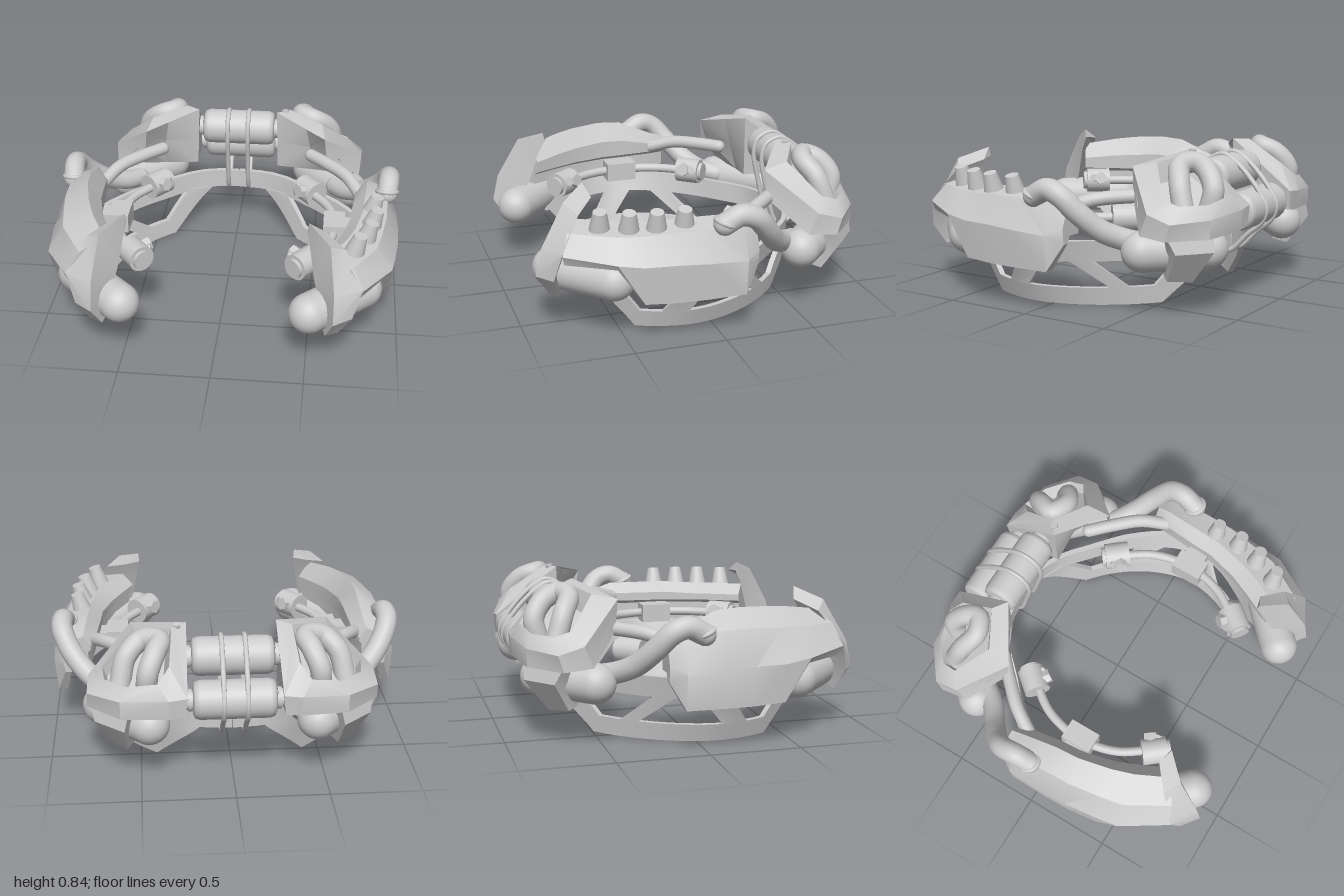
import * as THREE from 'three';
import { toCreasedNormals } from 'three/addons/utils/BufferGeometryUtils.js';

const V = (p) => new THREE.Vector3(...p);
const smooth = new THREE.MeshStandardMaterial({ color: 0xcccccc });
const faceted = new THREE.MeshStandardMaterial({ color: 0xcccccc, flatShading: true });
const plate = new THREE.MeshStandardMaterial({ color: 0xcccccc, side: THREE.DoubleSide });

function add(parent, name, geometry, material = smooth) {
  const m = new THREE.Mesh(geometry, material);
  m.name = name;
  parent.add(m);
  return m;
}

// Skin between equal-length rings of [x, y, z]; skip lists first-band edges left open
function loft(rings, { closed = true, caps = '', skip = [] } = {}) {
  const pos = [];
  const tri = (...p) => p.forEach((q) => pos.push(...q));
  const n = rings[0].length;
  for (let i = 0; i < rings.length - 1; i++) {
    for (let j = 0; j < (closed ? n : n - 1); j++) {
      if (skip.includes(j) && i === 0) continue;
      const k = (j + 1) % n, a = rings[i], b = rings[i + 1];
      tri(a[j], a[k], b[k]);
      tri(a[j], b[k], b[j]);
    }
  }
  const cap = (r, flip) => {
    const c = [0, 1, 2].map((d) => r.reduce((s, p) => s + p[d], 0) / n);
    r.forEach((p, j) => (flip ? tri(r[(j + 1) % n], p, c) : tri(p, r[(j + 1) % n], c)));
  };
  if (caps.includes('start')) cap(rings[0], true);
  if (caps.includes('end')) cap(rings[rings.length - 1], false);
  const g = new THREE.BufferGeometry();
  g.setAttribute('position', new THREE.Float32BufferAttribute(pos, 3));
  return toCreasedNormals(g, 0.5);
}

// Straight part from a to b: cone, cylinder or capsule
function rod(parent, name, a, b, r0, r1 = r0, { seg = 24, round = false } = {}) {
  const A = V(a), B = V(b), d = B.clone().sub(A);
  const g = round ? new THREE.CapsuleGeometry(r0, d.length(), 10, 28)
    : new THREE.CylinderGeometry(r1, r0, d.length(), seg);
  const m = add(parent, name, g, seg < 10 ? faceted : smooth);
  m.position.copy(A).add(B).multiplyScalar(0.5);
  m.quaternion.setFromUnitVectors(new THREE.Vector3(0, 1, 0), d.normalize());
}

// Bent pipe with rounded ends
function pipe(parent, name, pts, r) {
  const g = new THREE.Group();
  g.name = name;
  parent.add(g);
  add(g, name + 'Tube', new THREE.TubeGeometry(new THREE.CatmullRomCurve3(pts.map(V)), 48, r, 16));
  for (const p of [pts[0], pts[pts.length - 1]]) {
    add(g, name + 'End', new THREE.SphereGeometry(r, 16, 12)).position.set(...p);
  }
}

// Plan of the lower frame; panels are given by corners [station, height]
const plan = new THREE.CatmullRomCurve3([[0, -0.68], [0.2, -0.65], [0.41, -0.49], [0.58, -0.33], [0.72, -0.12],
  [0.785, 0.1], [0.75, 0.29], [0.67, 0.45], [0.56, 0.62]].map(([x, z]) => new THREE.Vector3(x, 0, z)));

function panel(parent, name, b0, b1, t0, t1) {
  const g = new THREE.BoxGeometry(1, 1, 1, 24, 1, 1), p = g.attributes.position;
  const mix = THREE.MathUtils.lerp;
  for (let i = 0; i < p.count; i++) {
    const u = p.getX(i) + 0.5, v = p.getY(i) + 0.5;
    const s = mix(mix(b0[0], b1[0], u), mix(t0[0], t1[0], u), v) / 8;
    const y = mix(mix(b0[1], b1[1], u), mix(t0[1], t1[1], u), v);
    const c = plan.getPoint(s), t = plan.getTangent(s), o = -p.getZ(i) * 0.03;
    // The flanks lean outward with height
    const flare = Math.max(t.z, 0) ** 2 * (y - 0.13) * 0.35;
    p.setXYZ(i, c.x + t.z * o + flare, y, c.z - t.x * o);
  }
  add(parent, name, toCreasedNormals(g, 0.5), plate);
}

function frame(side) {
  panel(side, 'frameTopRail', [0, 0.255], [8, 0.25], [0, 0.37], [8, 0.37]);
  panel(side, 'frameBackBrace', [0.85, 0.255], [2.05, 0], [1.45, 0.27], [2.2, 0.1]);
  panel(side, 'frameBottomRail', [2.05, 0], [6.7, 0], [2.1, 0.1], [6.7, 0.1]);
  panel(side, 'frameFrontBrace', [6.7, 0], [7.9, 0.25], [6.6, 0.1], [7.35, 0.26]);
  panel(side, 'frameRearStrut', [2.75, 0.09], [3.2, 0.09], [3.6, 0.27], [4.1, 0.27]);
  panel(side, 'frameFrontStrut', [5.2, 0.09], [5.95, 0.09], [4.55, 0.27], [5.3, 0.27]);
}

function arm(side, lift) {
  // Stations: outer x, z, inner x, z, bottom, edge and top heights, share of lift
  const rows = [
    [0.93, -0.2, 0.77, -0.2, 0.38, 0.46, 0.6, 0],
    [0.985, -0.12, 0.74, -0.12, 0.235, 0.43, 0.63, 0],
    [0.99, 0.1, 0.72, 0.08, 0.235, 0.44, 0.63, 0.9],
    [0.985, 0.25, 0.71, 0.22, 0.235, 0.45, 0.63, 1],
    [0.965, 0.43, 0.66, 0.4, 0.24, 0.45, 0.62, 1],
    [0.945, 0.57, 0.61, 0.51, 0.44, 0.47, 0.62, 0.85],
    [0.79, 0.82, 0.53, 0.67, 0.44, 0.49, 0.62, 0.5],
  ];
  const rings = rows.map(([xo, zo, xi, zi, yb, ye, yt, k]) => {
    const at = (t, y) => [xo + (xi - xo) * t, y, zo + (zi - zo) * t];
    const h = lift * k, low = Math.max(yb, 0.42);
    return [at(0.06, yb), at(0, ye), at(0.27, yt - 0.03 + h * 0.4), at(0.75, yt + h),
      at(1, yt - 0.06 + h * 0.5), at(1, 0.52), at(0.9, 0.5), at(0.9, low), at(0.3, low), at(0.28, yb)];
  });
  add(side, 'armShell', loft(rings, { caps: 'start end' }), plate);

  // Raised rib at the front tip
  const rib = [
    [[0.6, 0.22, 0.86], [0.67, 0.22, 0.82], [0.58, 0.24, 0.8]],
    [[0.64, 0.34, 0.935], [0.74, 0.34, 0.86], [0.57, 0.34, 0.79]],
    [[0.64, 0.49, 0.9], [0.79, 0.5, 0.82], [0.53, 0.48, 0.72]],
    [[0.61, 0.72, 0.77], [0.69, 0.67, 0.71], [0.5, 0.65, 0.67]],
    [[0.49, 0.78, 0.64], [0.57, 0.72, 0.61], [0.485, 0.73, 0.63]],
  ];
  add(side, 'armRib', loft(rib, { caps: 'start end' }), plate);
  rod(side, 'frontPad', [0.51, 0.33, 0.815], [0.79, 0.33, 0.55], 0.11, 0.11, { round: true });

  // Inner spring arc with clamps, knobs and a mounting pad
  const arc = [[0.46, 0.46, -0.28], [0.58, 0.46, -0.1], [0.625, 0.46, 0.12], [0.58, 0.46, 0.34], [0.46, 0.46, 0.52]];
  pipe(side, 'springArc', arc, 0.026);
  for (const e of [-1, 1]) {
    const z = (d) => 0.12 + e * d;
    rod(side, 'arcClamp', [0.51, 0.46, z(0.35)], [0.42, 0.46, z(0.46)], 0.075);
    rod(side, 'clampCollar', [0.425, 0.46, z(0.455)], [0.407, 0.46, z(0.477)], 0.055);
    rod(side, 'clampKnob', [0.47, 0.47, z(0.39)], [0.395, 0.49, z(0.335)], 0.04, 0.04, { seg: 6 });
    rod(side, 'clampBolt', [0.46, 0.47, z(0.4)], [0.38, 0.49, z(0.385)], 0.025, 0.025, { seg: 6 });
  }
  add(side, 'arcPad', new THREE.BoxGeometry(0.12, 0.11, 0.18), faceted).position.set(0.62, 0.46, 0.13);
  add(side, 'padMount', new THREE.BoxGeometry(0.12, 0.07, 0.12), faceted).position.set(0.7, 0.46, 0.13);

  // Pipes from the arm to the rear pod
  pipe(side, 'mainPipe', [[0.915, 0.62, -0.01], [0.925, 0.665, -0.1], [0.925, 0.64, -0.18], [0.88, 0.55, -0.26],
    [0.79, 0.45, -0.345], [0.68, 0.39, -0.44], [0.62, 0.37, -0.52]], 0.06);
  const flange = add(side, 'pipeFlange', new THREE.TorusGeometry(0.055, 0.014, 10, 28));
  flange.position.set(0.915, 0.63, -0.015);
  flange.rotation.x = 1.2;
  pipe(side, 'innerPipe', [[0.76, 0.55, -0.12], [0.68, 0.59, -0.25], [0.56, 0.6, -0.38], [0.46, 0.6, -0.48]], 0.038);
}

function pod(side) {
  // Armour with a recess on its sloping back
  const base = [[0.25, 0.47, -0.57], [0.56, 0.59, -0.4], [0.76, 0.44, -0.56], [0.78, 0.43, -0.72],
    [0.6, 0.43, -0.885], [0.34, 0.44, -0.925], [0.26, 0.45, -0.925]];
  const brow = [[0.24, 0.835, -0.57], [0.54, 0.76, -0.38], [0.77, 0.56, -0.61], [0.775, 0.52, -0.75],
    [0.6, 0.53, -0.885], [0.35, 0.55, -0.935], [0.25, 0.56, -0.93]];
  const rim = [[0.32, 0.83, -0.63], [0.52, 0.79, -0.52], [0.69, 0.63, -0.66], [0.68, 0.6, -0.75],
    [0.56, 0.6, -0.85], [0.4, 0.63, -0.89], [0.34, 0.7, -0.83]];
  const floor = rim.map(([x, y, z]) => [0.48 + (x - 0.47) * 0.85, 0.6 + (y - 0.68) * 0.7, -0.7 + (z + 0.73) * 0.75]);
  add(side, 'podArmour', loft([base, brow, rim, floor], { caps: 'end', skip: [0] }), plate);

  // Hollowed front wall
  const top = [brow[0], [0.42, 0.79, -0.5], brow[1]];
  const mid = [[0.245, 0.64, -0.57], [0.45, 0.62, -0.55], [0.6, 0.63, -0.44]];
  const low = [base[0], [0.46, 0.44, -0.6], [0.74, 0.44, -0.56]];
  add(side, 'podFrontWall', loft([low, mid, top], { closed: false }), plate);

  // Looped hose in the recess
  pipe(side, 'podHose', [[0.46, 0.55, -0.8], [0.45, 0.66, -0.82], [0.41, 0.75, -0.76], [0.385, 0.785, -0.68],
    [0.47, 0.775, -0.635], [0.56, 0.7, -0.68], [0.6, 0.55, -0.73]], 0.057);

  // Pad underneath, held by a flap
  rod(side, 'rearPad', [0.7, 0.345, -0.54], [0.45, 0.345, -0.79], 0.11, 0.11, { round: true });
  const flap = [
    [[0.62, 0.45, -0.6], [0.76, 0.45, -0.72], [0.74, 0.36, -0.765], [0.68, 0.2, -0.68], [0.61, 0.21, -0.62]],
    [[0.48, 0.45, -0.74], [0.56, 0.45, -0.89], [0.58, 0.36, -0.9], [0.57, 0.185, -0.77], [0.52, 0.21, -0.7]],
  ];
  add(side, 'podFlap', loft(flap, { caps: 'start end' }), plate);
}

function tanks(root) {
  const profile = [[0, -0.22], [0.075, -0.22], [0.096, -0.21], [0.105, -0.185],
    [0.105, 0.185], [0.096, 0.21], [0.075, 0.22], [0, 0.22]].map(([r, h]) => new THREE.Vector2(r, h));
  for (const [y, z] of [[0.68, -0.67], [0.505, -0.835]]) {
    const t = add(root, 'tank', new THREE.LatheGeometry(profile, 40));
    t.position.set(0, y, z);
    t.rotation.z = Math.PI / 2;
    rod(root, 'tankConnector', [-0.28, y, z], [0.28, y, z], 0.05);
    for (const x of [-0.235, 0.235]) rod(root, 'tankCollar', [x - 0.01, y, z], [x + 0.01, y, z], 0.06);
  }
  // Straps round both tanks and down to the frame
  const loop = [[-0.67, 0.79], [-0.585, 0.755], [-0.56, 0.67], [-0.59, 0.5], [-0.66, 0.265], [-0.71, 0.25],
    [-0.83, 0.36], [-0.91, 0.43], [-0.935, 0.51], [-0.89, 0.6], [-0.76, 0.74]];
  for (const x of [-0.065, 0.06]) {
    const curve = new THREE.CatmullRomCurve3(loop.map(([z, y]) => new THREE.Vector3(x, y, z)), true);
    add(root, 'tankStrap', new THREE.TubeGeometry(curve, 80, 0.014, 10, true));
  }
}

export function createModel() {
  const root = new THREE.Group();
  root.name = 'collar';
  for (const s of [1, -1]) {
    const side = new THREE.Group();
    side.name = s > 0 ? 'leftSide' : 'rightSide';
    side.scale.x = s;
    frame(side);
    arm(side, s > 0 ? 0 : 0.1);
    pod(side);
    if (s > 0) {
      // Row of studs and a bolt, on the left only
      for (const [x, z] of [[0.82, 0.18], [0.82, 0.33], [0.79, 0.47], [0.73, 0.61]]) {
        rod(side, 'stud', [x, 0.58, z], [x + 0.035, 0.705, z + 0.005], 0.06, 0.036);
      }
      rod(side, 'podBolt', [0.29, 0.81, -0.6], [0.29, 0.84, -0.605], 0.022, 0.022, { seg: 6 });
    }
    root.add(side);
  }
  tanks(root);
  return root;
}
